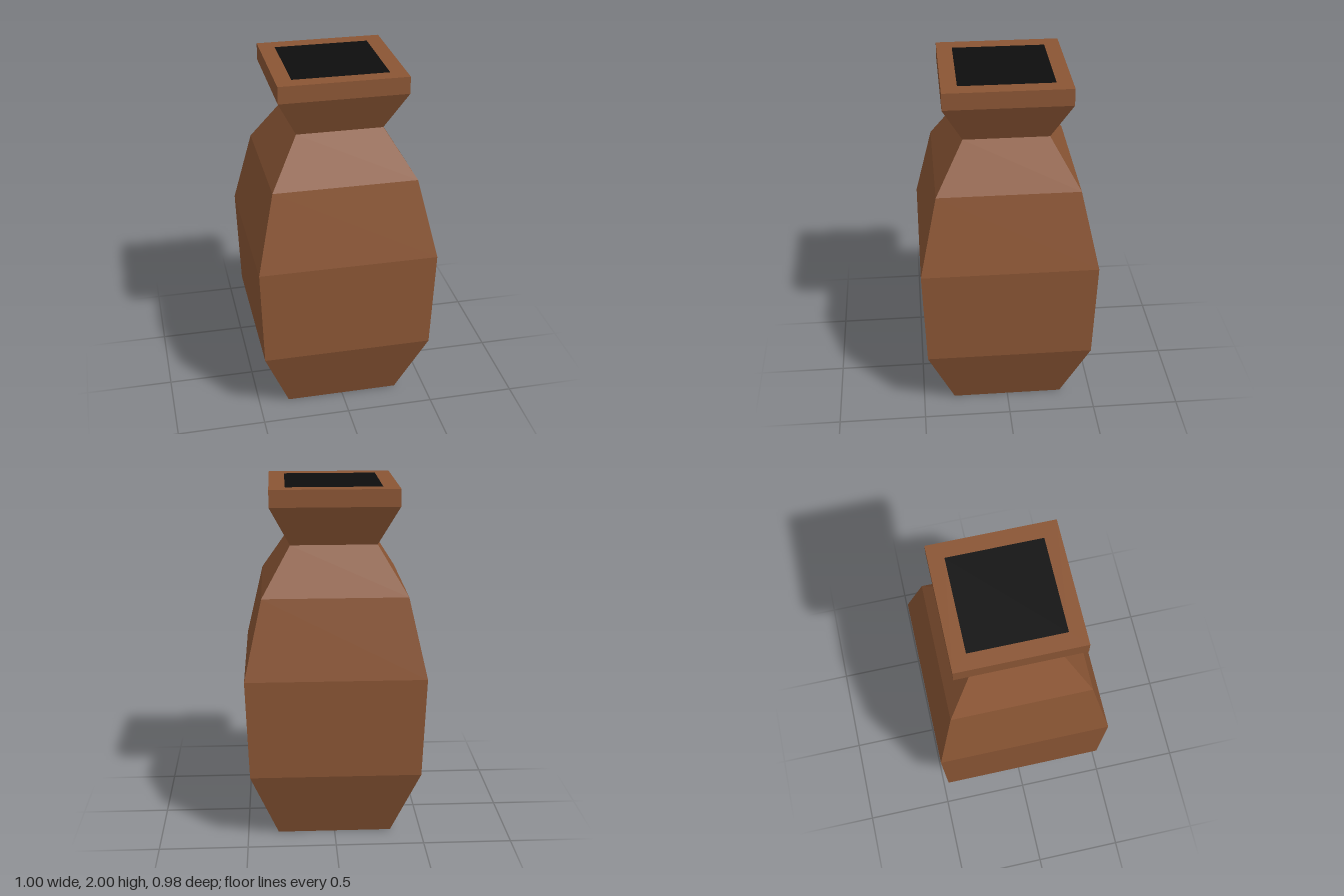
import * as THREE from 'three';

const DEPTH = 0.98; // the vase is slightly shallower than wide
const TOP_HOLE = 0.264;
const BASE_HOLE = 0.238;

export function createModel() {
  const clay = new THREE.MeshStandardMaterial({ color: 0x8a5534 });
  clay.name = 'brown clay';
  const dark = new THREE.MeshStandardMaterial({ color: 0x0e0e0e });
  dark.name = 'black opening';

  const vase = new THREE.Group();
  vase.name = 'vase';

  // Four-sided body: [half width, height] from the base rim up to the mouth rim
  const profile = [
    [BASE_HOLE, 0], [0.325, 0], [0.48, 0.41], [0.5, 0.98], [0.4, 1.42],
    [0.24, 1.68], [0.352, 1.905], [0.352, 2], [TOP_HOLE, 2],
  ].map(([w, y]) => new THREE.Vector2(w * Math.SQRT2, y));
  const bodyGeometry = new THREE.LatheGeometry(profile, 4, Math.PI / 4)
    .scale(1, 1, DEPTH)
    .toNonIndexed();
  bodyGeometry.computeVertexNormals();
  const body = new THREE.Mesh(bodyGeometry, clay);
  body.name = 'body';
  vase.add(body);

  // Flat dark squares filling the mouth and the middle of the base
  const addPatch = (name, half, y, tilt) => {
    const geometry = new THREE.PlaneGeometry(2 * half, 2 * half * DEPTH).rotateX(tilt);
    const patch = new THREE.Mesh(geometry, dark);
    patch.name = name;
    patch.position.y = y;
    vase.add(patch);
  };
  addPatch('mouth', TOP_HOLE, 2, -Math.PI / 2);
  addPatch('basePatch', BASE_HOLE, 0, Math.PI / 2);

  return vase;
}
